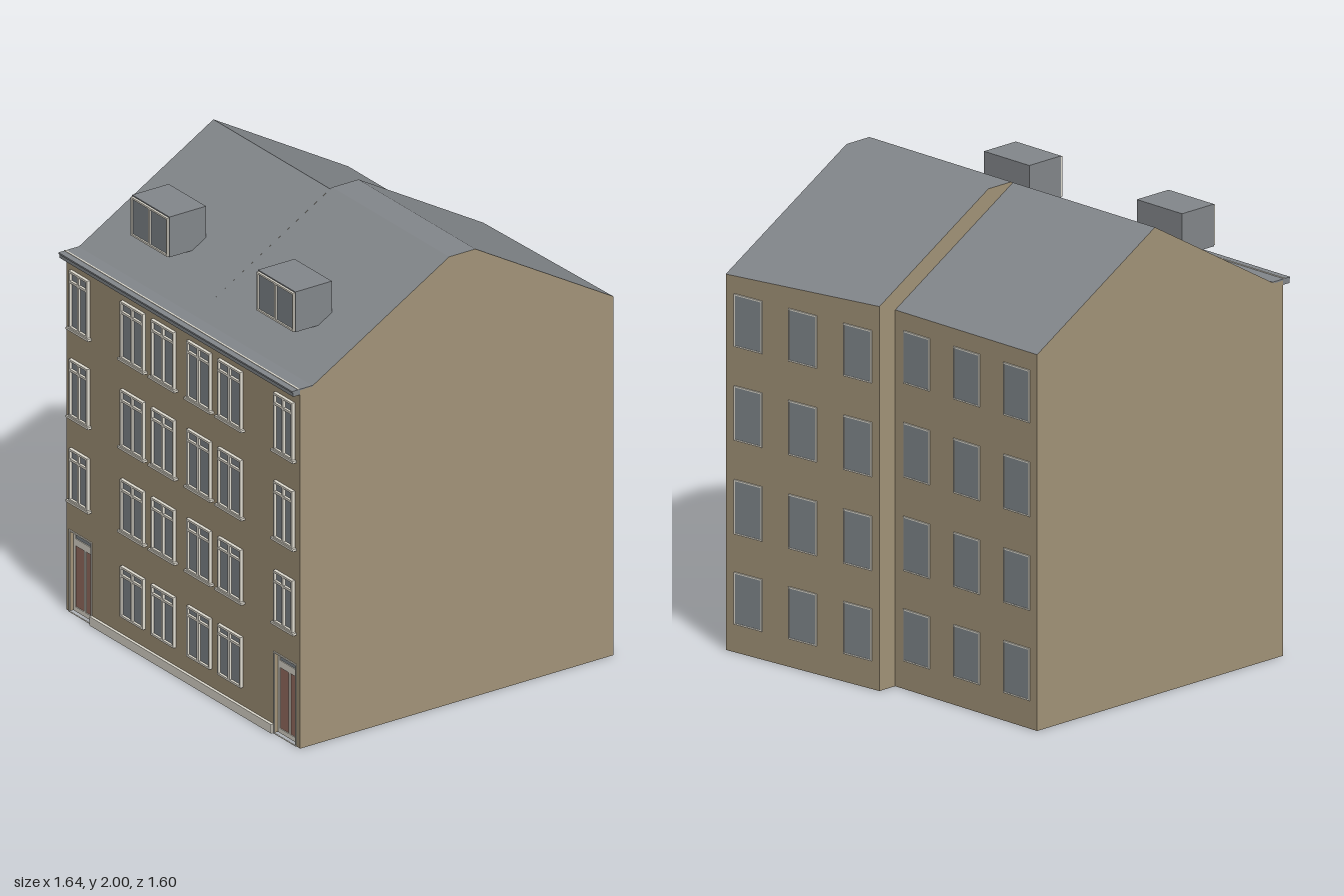
import * as THREE from 'three';

const mat = (name, color) => {
  const m = new THREE.MeshStandardMaterial({ color });
  m.name = name;
  return m;
};

export function createModel() {
  const wall = mat('wall plaster', 0xa39479);
  const roof = mat('roof slate', 0x83878b);
  const glass = mat('window glass', 0x81888d);
  const trim = mat('light trim', 0xe0dcd0);
  const doorMat = mat('door paint', 0x9a6f63);
  const model = new THREE.Group();
  model.name = 'townhouse';

  const mesh = (name, geo, material, parent) => {
    const m = new THREE.Mesh(geo, material);
    m.name = name;
    parent.add(m);
    return m;
  };

  // box given by its minimum and maximum corners
  const box = (name, x0, x1, y0, y1, z0, z1, material, parent = model) => {
    const m = mesh(name, new THREE.BoxGeometry(x1 - x0, y1 - y0, z1 - z0), material, parent);
    m.position.set((x0 + x1) / 2, (y0 + y1) / 2, (z0 + z1) / 2);
    return m;
  };

  const rect = (C, x0, x1, y0, y1) => {
    const s = new C();
    s.moveTo(x0, y0).lineTo(x1, y0).lineTo(x1, y1).lineTo(x0, y1).closePath();
    return s;
  };

  // flat frame with rectangular openings, standing on local z = 0
  const frame = (name, x0, x1, y0, y1, holes, depth, parent) => {
    const s = rect(THREE.Shape, x0, x1, y0, y1);
    s.holes = holes.map(h => rect(THREE.Path, ...h));
    return mesh(name, new THREE.ExtrudeGeometry(s, { depth, bevelEnabled: false }), trim, parent);
  };

  // solid between two (z, y) sections; edges listed in roofEdges get the roof colour
  const loft = (name, xa, xb, A, B, roofEdges) => {
    const pos = [], geo = new THREE.BufferGeometry(), n = A.length;
    const put = (x, p) => pos.push(x, p[1], p[0]);
    for (let i = 0; i < n; i++) {
      const j = (i + 1) % n;
      put(xa, A[i]); put(xb, B[i]); put(xb, B[j]);
      put(xa, A[i]); put(xb, B[j]); put(xa, A[j]);
      geo.addGroup(i * 6, 6, roofEdges.includes(i) ? 1 : 0);
    }
    for (let i = 1; i < n - 1; i++) {
      put(xa, A[0]); put(xa, A[i]); put(xa, A[i + 1]);
      put(xb, B[0]); put(xb, B[i + 1]); put(xb, B[i]);
    }
    geo.addGroup(n * 6, (n - 2) * 6, 0);
    geo.setAttribute('position', new THREE.Float32BufferAttribute(pos, 3));
    geo.computeVertexNormals();
    mesh(name, geo, [wall, roof], model);
  };

  // two adjoining houses, the left one deeper with a skewed back wall
  const W = 0.82, F = 0.73;
  const section = (ridge, back, eave) =>
    [[F, 0], [F, 1.605], [0.70, 1.605], ...ridge, [back, eave], [back, 0]];
  const low = section([[0.03, 1.995]], -0.64, 1.605);
  loft('rightHouse', -W, 0, low, low, [1, 2, 3]);
  const ridge = [[0.02, 2], [-0.11, 2]];
  loft('leftHouse', 0, W, section(ridge, -0.73, 1.64), section(ridge, -0.797, 1.603), [1, 2, 3, 4]);

  // front wall slab with door recesses
  const front = new THREE.Shape();
  front.moveTo(-W, 0);
  for (const [a, b] of [[-0.80, -0.64], [0.635, 0.795]]) {
    front.lineTo(a, 0).lineTo(a, 0.367).lineTo(b, 0.367).lineTo(b, 0);
  }
  front.lineTo(W, 0).lineTo(W, 1.603).lineTo(-W, 1.603).closePath();
  mesh('frontWall', new THREE.ExtrudeGeometry(front, { depth: 0.03, bevelEnabled: false }), wall, model)
    .position.z = F;
  box('plinth', -0.64, 0.635, 0, 0.04, 0.76, 0.773, trim);

  // eaves gutter
  box('eavesBoard', -W, W, 1.60, 1.607, 0.70, 0.80, roof);
  box('gutter', -W, W, 1.582, 1.60, 0.76, 0.795, roof);
  box('gutterLine', -W, W, 1.605, 1.609, 0.763, 0.771, trim);

  // front windows: two casements below two top lights
  const rows = [[0.122, 0.348, 0.308], [0.505, 0.738, 0.69], [0.882, 1.138, 1.09], [1.276, 1.533, 1.485]];
  const wide = [[-0.425, -0.265], [-0.21, -0.05], [0.04, 0.202], [0.257, 0.42]];
  const narrow = [[-0.785, -0.655], [0.65, 0.782]];
  rows.forEach(([y0, y1, t], floor) => {
    for (const [x0, x1] of floor ? [...wide, ...narrow] : wide) {
      const g = new THREE.Group();
      g.name = 'frontWindow';
      g.position.z = 0.76;
      model.add(g);
      const c = (x0 + x1) / 2, e = 0.009, m = 0.006;
      const holes = [];
      for (const [a, b] of [[x0 + e, c - m], [c + m, x1 - e]]) {
        holes.push([a, b, y0 + e, t - 0.005], [a, b, t + 0.005, y1 - e]);
      }
      frame('windowFrame', x0, x1, y0, y1, holes, 0.015, g);
      box('windowGlass', x0 + 0.004, x1 - 0.004, y0 + 0.004, y1 - 0.004, 0, 0.004, glass, g);
      if (floor) box('windowSill', x0 - 0.012, x1 + 0.012, y0 - 0.008, y0 + 0.002, 0, 0.02, trim, g);
    }
  });

  // recessed double doors with a light above
  for (const x of [-0.72, 0.715]) {
    const g = new THREE.Group();
    g.name = 'frontDoor';
    g.position.set(x, 0, F);
    model.add(g);
    const holes = [[-0.066, -0.006, 0.02, 0.293], [0.006, 0.066, 0.02, 0.293], [-0.066, 0.066, 0.325, 0.357]];
    frame('doorFrame', -0.08, 0.08, 0, 0.367, holes, 0.01, g);
    box('doorLeaves', -0.07, 0.07, 0.01, 0.3, 0, 0.006, doorMat, g);
    box('doorLight', -0.07, 0.07, 0.32, 0.36, 0, 0.006, glass, g);
    const edge = [[-0.073, 0.073, -0.01, 0.36]];
    frame('doorSurround', -0.08, 0.08, 0, 0.367, [[-0.074, 0.074, 0.002, 0.361]], 0.006, g).position.z = 0.028;
  }

  // back windows, set on each back wall
  const backRows = [[0.12, 0.343], [0.505, 0.738], [0.905, 1.138], [1.305, 1.53]];
  const backWall = (name, x, z, angle, starts) => {
    const g = new THREE.Group();
    g.name = name;
    g.position.set(x, 0, z);
    g.rotation.y = Math.PI + angle;
    model.add(g);
    for (const s of starts) {
      for (const [y0, y1] of backRows) {
        const x0 = -s - 0.15, x1 = -s, e = 0.006;
        frame('backWindowFrame', x0, x1, y0, y1, [[x0 + e, x1 - e, y0 + e, y1 - e]], 0.006, g);
        box('backWindowGlass', x0 + 0.003, x1 - 0.003, y0 + 0.003, y1 - 0.003, 0, 0.004, glass, g);
      }
    }
  };
  backWall('rightBackWindows', 0, -0.64, 0, [-0.78, -0.49, -0.20]);
  backWall('leftBackWindows', 0, -0.73, Math.atan2(0.067, W), [0.04, 0.335, 0.625]);

  // box dormers with a two-pane window
  for (const x of [-0.445, 0.438]) {
    const g = new THREE.Group();
    g.name = 'dormer';
    g.position.x = x;
    model.add(g);
    box('dormerBody', -0.131, 0.131, 1.725, 1.905, 0.425, 0.606, roof, g);
    box('dormerGlass', -0.125, 0.125, 1.732, 1.896, 0.606, 0.609, glass, g);
    frame('dormerFrame', -0.128, 0.128, 1.728, 1.9,
      [[-0.12, -0.005, 1.736, 1.892], [0.005, 0.12, 1.736, 1.892]], 0.01, g).position.z = 0.606;
  }
  return model;
}
